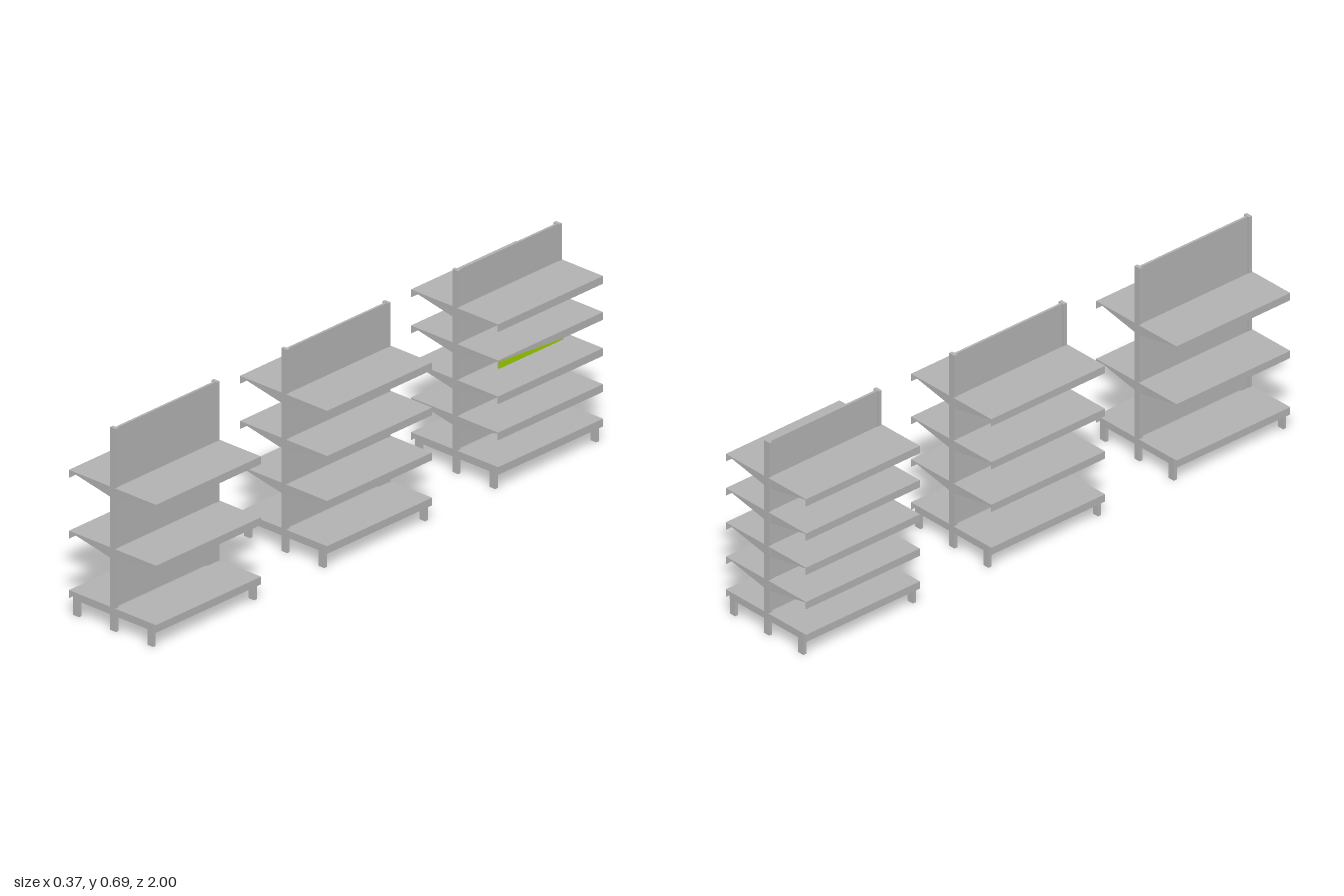
import * as THREE from 'three';

const steel = new THREE.MeshStandardMaterial({ color: 0xb2b2b2 });
steel.name = 'grey steel';
const green = new THREE.MeshStandardMaterial({ color: 0x99cc00, side: THREE.DoubleSide });
green.name = 'lime green';

const HALF = 0.235;   // half length of one rack
const REACH = 0.182;  // shelf edge from the centre line
const POST_Z = 0.226;

function box(parent, name, x0, x1, y0, y1, z0, z1) {
  const mesh = new THREE.Mesh(new THREE.BoxGeometry(Math.abs(x1 - x0), y1 - y0, z1 - z0), steel);
  mesh.position.set((x0 + x1) / 2, (y0 + y1) / 2, (z0 + z1) / 2);
  mesh.name = name;
  parent.add(mesh);
}

// Flat outline in x and y, given a thickness along z
function plate(points, depth) {
  const shape = new THREE.Shape(points.map(([x, y]) => new THREE.Vector2(x, y)));
  const geo = new THREE.ExtrudeGeometry(shape, { depth, bevelEnabled: false });
  return geo.translate(0, 0, -depth / 2);
}

// Thin top with a folded front lip and stiffening ribs; side is 1 or -1
function shelf(y, side, ribs) {
  const g = new THREE.Group();
  g.name = 'shelf';
  box(g, 'shelfTop', side * 0.01, side * REACH, y - 0.003, y, -HALF, HALF);
  box(g, 'frontLip', side * (REACH - 0.002), side * REACH, y - 0.026, y - 0.003, -HALF, HALF);
  for (const x of ribs) {
    box(g, 'shelfRib', side * (x - 0.004), side * (x + 0.004), y - 0.008, y - 0.003, -0.222, 0.222);
  }
  return g;
}

// Tapered arms that carry a shelf at both ends
function brackets(y, side) {
  const g = new THREE.Group();
  g.name = 'shelfBrackets';
  const geo = plate([
    [side * 0.012, y - 0.04], [side * 0.168, y - 0.01],
    [side * 0.168, y - 0.003], [side * 0.012, y - 0.003],
  ], 0.004);
  for (const end of [-1, 1]) {
    const arm = new THREE.Mesh(geo, steel);
    arm.name = 'shelfBracket';
    arm.position.z = end * POST_Z;
    g.add(arm);
  }
  return g;
}

function rack(levels) {
  const g = new THREE.Group();
  g.name = 'shelfRack';
  for (const end of [-1, 1]) {
    const z0 = end * POST_Z - 0.006, z1 = end * POST_Z + 0.006;
    box(g, 'upright', -0.012, 0.012, 0, 0.687, z0, z1);
    for (const side of [-1, 1]) {
      box(g, 'baseBeam', side * 0.012, side * 0.168, 0.053, 0.077, z0, z1);
      box(g, 'foot', side * 0.143, side * 0.167, 0, 0.053, z0, z1);
    }
  }
  box(g, 'backPanel', -0.004, 0.004, 0.08, 0.685, -0.22, 0.22);
  for (const side of [-1, 1]) {
    g.add(shelf(0.08, side, []));
    for (const y of levels) g.add(shelf(y, side, [0.035, 0.118]), brackets(y, side));
  }
  return g;
}

export function createModel() {
  const model = new THREE.Group();
  model.name = 'shopShelving';

  // Three racks in a row with two, three and four shelf levels
  const racks = [
    [0.765, [0.487, 0.281]],
    [0, [0.538, 0.385, 0.233]],
    [-0.765, [0.563, 0.441, 0.319, 0.197]],
  ];
  for (const [z, levels] of racks) {
    const r = rack(levels);
    r.position.z = z;
    model.add(r);
  }

  // Tapered green strip on one shelf lip
  const wedge = new THREE.Shape([
    new THREE.Vector2(0.53, 0.412), new THREE.Vector2(0.53, 0.437), new THREE.Vector2(0.82, 0.416),
    new THREE.Vector2(0.82, 0.412),
  ]);
  const strip = new THREE.Mesh(new THREE.ShapeGeometry(wedge), green);
  strip.name = 'greenStrip';
  strip.rotation.y = Math.PI / 2;
  strip.position.x = REACH + 0.0015;
  model.add(strip);
  return model;
}
